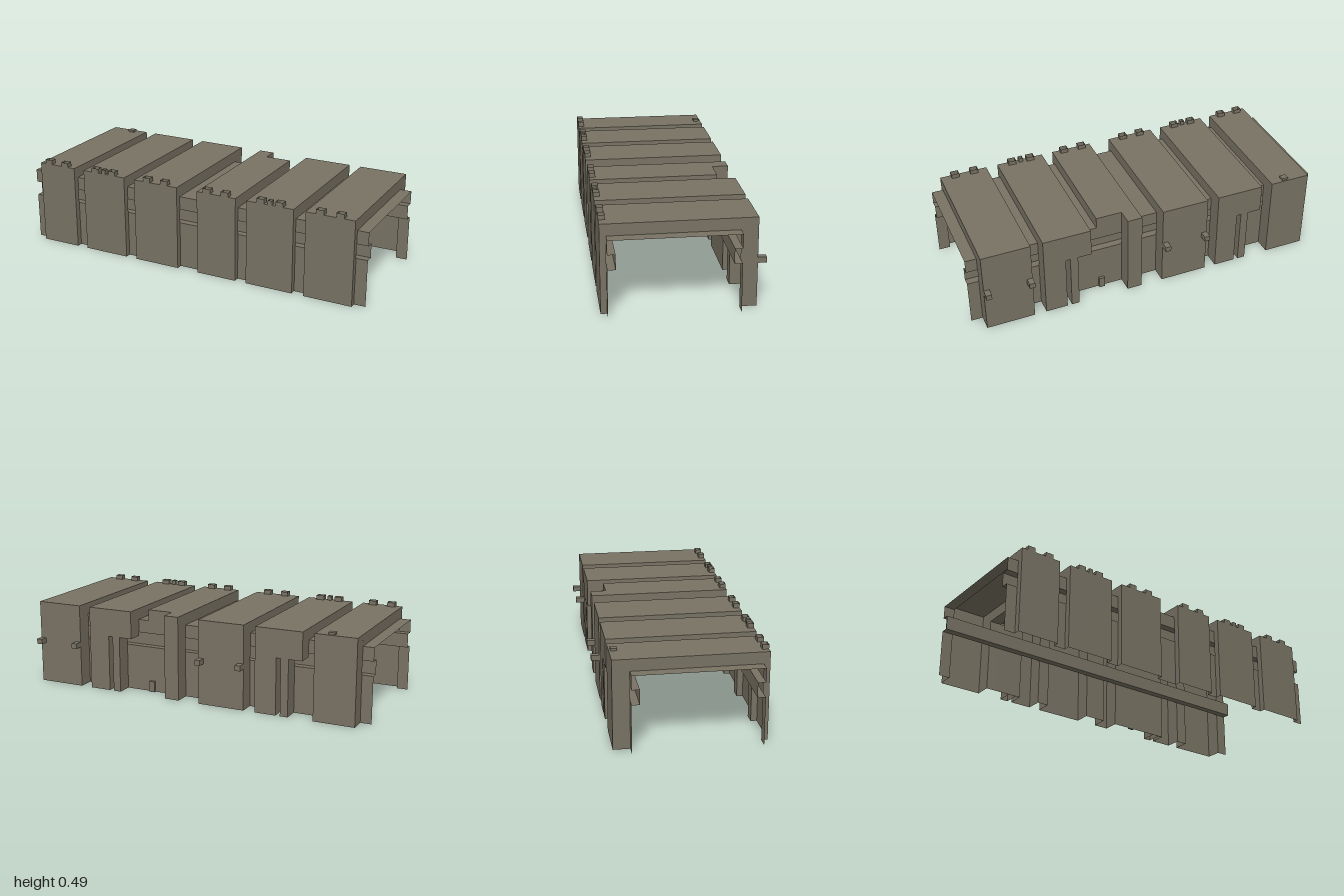
import * as THREE from 'three';

const olive = new THREE.MeshStandardMaterial({ color: 0x787263, side: THREE.DoubleSide });
olive.name = 'oliveGrey';

// Main levels of the folded sheet: recessed (in) and raised (out)
const FRONT_IN = 0.373, FRONT_OUT = 0.405;
const BACK_IN = -0.275, BACK_OUT = -0.361;
const ROOF_IN = 0.402, ROOF_OUT = 0.463;
const RAIL_LOW = 0.253, RAIL_HIGH = 0.33, RAIL_DEPTH = 0.04;
const PEG_TOP = 0.487;

// Thin rectangles facing along each axis
function add(group, name, geometry) {
  const mesh = new THREE.Mesh(geometry, olive);
  mesh.name = name;
  group.add(mesh);
}
function plateZ(group, name, x0, x1, y0, y1, z) {
  const g = new THREE.PlaneGeometry(x1 - x0, y1 - y0);
  if (z < 0) g.rotateY(Math.PI);
  add(group, name, g.translate((x0 + x1) / 2, (y0 + y1) / 2, z));
}
function plateY(group, name, x0, x1, z0, z1, y) {
  const g = new THREE.PlaneGeometry(x1 - x0, z1 - z0).rotateX(-Math.PI / 2);
  add(group, name, g.translate((x0 + x1) / 2, y, (z0 + z1) / 2));
}
function plateX(group, name, z0, z1, y0, y1, x) {
  const g = new THREE.PlaneGeometry(z1 - z0, y1 - y0).rotateY(Math.PI / 2);
  add(group, name, g.translate(x, (y0 + y1) / 2, (z0 + z1) / 2));
}
function box(group, name, x0, x1, y0, y1, z0, z1) {
  const g = new THREE.BoxGeometry(x1 - x0, y1 - y0, z1 - z0);
  add(group, name, g.translate((x0 + x1) / 2, (y0 + y1) / 2, (z0 + z1) / 2));
}

// Recessed wall, split around the rail groove
function recessedWall(group, x0, x1, z, top = ROOF_IN) {
  plateZ(group, 'lowerRecessedWall', x0, x1, 0, RAIL_LOW, z);
  plateZ(group, 'upperRecessedWall', x0, x1, RAIL_HIGH, top, z);
}

// Open-topped socket on the front roof edge
function socket(group, [x0, x1, zBack]) {
  plateZ(group, 'socketFront', x0, x1, ROOF_OUT, PEG_TOP, FRONT_OUT);
  plateZ(group, 'socketBack', x0, x1, ROOF_OUT, PEG_TOP, zBack);
  for (const x of [x0, x1]) plateX(group, 'socketSide', zBack, FRONT_OUT, ROOF_OUT, PEG_TOP, x);
}

// Raised roof with notches under the sockets
function ribRoof(group, x0, x1, zBack, sockets) {
  plateY(group, 'ribRoof', x0, x1, zBack, 0.372, ROOF_OUT);
  let x = x0;
  for (const [s0, s1, zb] of sockets) {
    plateY(group, 'roofEdge', x, s0, 0.372, FRONT_OUT, ROOF_OUT);
    if (zb > 0.373) plateY(group, 'roofEdge', s0, s1, 0.372, zb, ROOF_OUT);
    x = s1;
  }
  plateY(group, 'roofEdge', x, x1, 0.372, FRONT_OUT, ROOF_OUT);
}

// One raised rib; type sets the back wall: full, slotted or open
function rib({ x0, x1, type, sockets, pegs }) {
  const g = new THREE.Group();
  g.name = 'rib';
  plateZ(g, 'ribFront', x0, x1, 0, ROOF_OUT, FRONT_OUT);
  for (const x of [x0, x1]) {
    plateX(g, 'frontSide', FRONT_IN, FRONT_OUT, 0, ROOF_OUT, x);
    plateX(g, 'roofSide', BACK_IN, FRONT_IN, ROOF_IN, ROOF_OUT, x);
  }
  sockets.forEach((s) => socket(g, s));

  if (type === 'full') {
    ribRoof(g, x0, x1, BACK_OUT, sockets);
    plateZ(g, 'ribBack', x0, x1, 0, ROOF_OUT, BACK_OUT);
    for (const x of [x0, x1]) plateX(g, 'backSide', BACK_OUT, BACK_IN, 0, ROOF_OUT, x);
  } else if (type === 'slotted') {
    // Full-height panel, lintel over a cutout, and a free post
    const xc = x0 + 0.143, lintel = 0.31;
    const p0 = x0 + 0.075, p1 = x0 + 0.118;
    ribRoof(g, x0, x1, BACK_OUT, sockets);
    plateZ(g, 'ribBack', xc, x1, 0, ROOF_OUT, BACK_OUT);
    plateZ(g, 'lintel', x0, xc, lintel, ROOF_OUT, BACK_OUT);
    plateY(g, 'lintelUnderside', x0, xc, BACK_OUT, BACK_IN, lintel);
    plateX(g, 'backSide', BACK_OUT, BACK_IN, 0, ROOF_OUT, x1);
    plateX(g, 'cutoutSide', BACK_OUT, BACK_IN, 0, lintel, xc);
    plateX(g, 'lintelSide', BACK_OUT, BACK_IN, lintel, ROOF_OUT, x0);
    plateZ(g, 'post', p0, p1, 0, lintel, BACK_OUT);
    for (const x of [p0, p1]) plateX(g, 'postSide', BACK_OUT, BACK_IN, 0, lintel, x);
    recessedWall(g, x0, xc, BACK_IN);
  } else {
    // Narrow column beside an open bay
    const xc = x0 + 0.083;
    ribRoof(g, x0, x1, BACK_IN, sockets);
    plateY(g, 'columnRoof', x0, xc, BACK_OUT, BACK_IN, ROOF_OUT);
    plateZ(g, 'columnBack', x0, xc, 0, ROOF_OUT, BACK_OUT);
    for (const x of [x0, xc]) plateX(g, 'columnSide', BACK_OUT, BACK_IN, 0, ROOF_OUT, x);
    recessedWall(g, xc, x1, BACK_IN, ROOF_OUT);
    box(g, 'smallTab', 0.247, 0.278, 0, 0.06, -0.29, BACK_IN);
  }
  if (pegs) {
    for (const x of [x0, x1 - 0.031]) box(g, 'backPeg', x, x + 0.031, 0.226, 0.255, -0.405, BACK_OUT);
  }
  return g;
}

// Inward groove running the whole length of a wall
function rail(group, z, dir) {
  const zi = z - dir * RAIL_DEPTH;
  const a = Math.min(z, zi), b = Math.max(z, zi);
  plateZ(group, 'railFace', -1, 1, RAIL_LOW, RAIL_HIGH, zi);
  for (const y of [RAIL_LOW, RAIL_HIGH]) plateY(group, 'railLedge', -1, 1, a, b, y);
}

const pair = (a, b) => [[a, a + 0.043, 0.372], [b, b + 0.043, 0.372]];
const triple = (a, s, b) => [[a, a + 0.043, 0.372], [s, s + 0.023, 0.379], [b, b + 0.043, 0.372]];

export function createModel() {
  const model = new THREE.Group();
  model.name = 'corrugatedShell';

  const ribs = [
    { x0: -0.94, x1: -0.715, type: 'full', sockets: pair(-0.906, -0.8) },
    { x0: -0.652, x1: -0.39, type: 'slotted', sockets: triple(-0.598, -0.534, -0.491) },
    { x0: -0.326, x1: -0.063, type: 'full', sockets: pair(-0.27, -0.164), pegs: true },
    { x0: 0.058, x1: 0.284, type: 'open', sockets: pair(0.094, 0.2) },
    { x0: 0.347, x1: 0.61, type: 'slotted', sockets: triple(0.403, 0.467, 0.509) },
    { x0: 0.675, x1: 0.938, type: 'full', sockets: pair(0.73, 0.837), pegs: true },
  ];
  ribs.forEach((r) => model.add(rib(r)));

  // Recessed strips between the ribs and at both ends
  const edges = [-1, ...ribs.flatMap((r) => [r.x0, r.x1]), 1];
  for (let i = 0; i < edges.length; i += 2) {
    const g = new THREE.Group();
    g.name = 'recessedStrip';
    plateY(g, 'recessedRoof', edges[i], edges[i + 1], BACK_IN, FRONT_IN, ROOF_IN);
    for (const z of [FRONT_IN, BACK_IN]) recessedWall(g, edges[i], edges[i + 1], z);
    model.add(g);
  }

  // Side rails and the single roof stud
  const rails = new THREE.Group();
  rails.name = 'rails';
  rail(rails, FRONT_IN, 1);
  rail(rails, BACK_IN, -1);
  model.add(rails);
  box(model, 'roofStud', -0.818, -0.783, ROOF_OUT, 0.475, -0.352, -0.319);
  return model;
}
